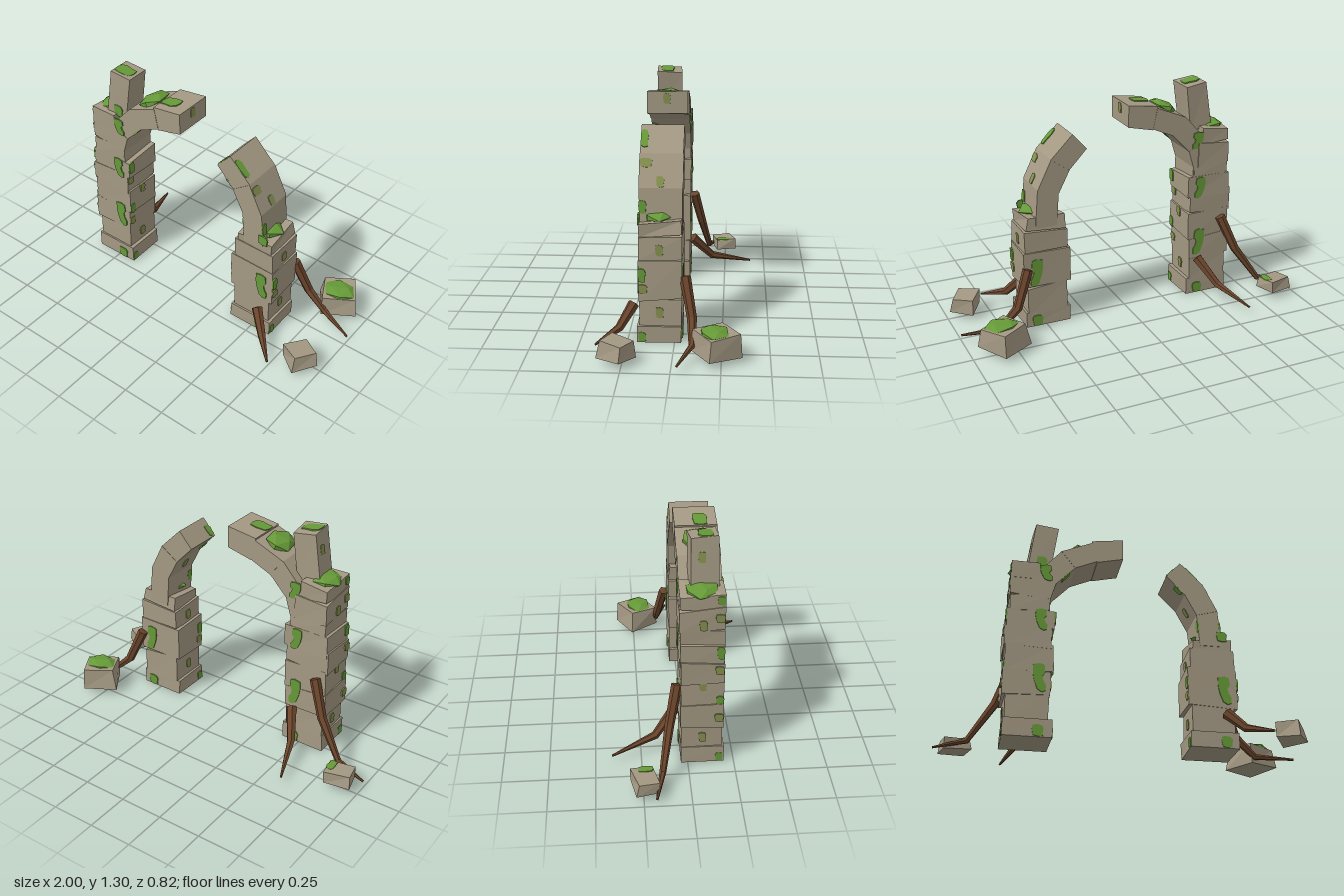
import * as THREE from 'three';

const mat = (name, color) => {
  const m = new THREE.MeshStandardMaterial({ color, flatShading: true });
  m.name = name;
  return m;
};

export function createModel() {
  const root = new THREE.Group();
  root.name = 'ruinedArch';
  const stone = mat('stone', 0xa49983);
  const moss = mat('moss', 0x669a38);
  const paleMoss = mat('paleMoss', 0x84904f);
  const wood = mat('rootWood', 0x6b452c);

  let seed = 11;
  const rnd = () => {
    seed = (seed * 16807) % 2147483647;
    return seed / 2147483647 * 2 - 1;
  };

  const add = (name, geo, material, parent = root) => {
    const mesh = new THREE.Mesh(geo, material);
    mesh.name = name;
    parent.add(mesh);
    return mesh;
  };

  // Box whose eight corners are nudged a little, like rough hewn stone
  function roughBox(w, h, d, jx, jy, jz) {
    const geo = new THREE.BoxGeometry(w, h, d);
    const shift = Array.from({ length: 8 }, () => [rnd() * jx, rnd() * jy, rnd() * jz]);
    const p = geo.attributes.position;
    for (let i = 0; i < p.count; i++) {
      const [x, y, z] = [p.getX(i), p.getY(i), p.getZ(i)];
      const s = shift[(x > 0 ? 1 : 0) + (y > 0 ? 2 : 0) + (z > 0 ? 4 : 0)];
      p.setXYZ(i, x + s[0], y + s[1], z + s[2]);
    }
    geo.computeVertexNormals();
    return geo;
  }

  // Pillars: each course is [x0, x1, y0, y1, z0, z1]
  function pillar(name, courses) {
    const g = new THREE.Group();
    g.name = name;
    for (const [x0, x1, y0, y1, z0, z1] of courses) {
      const b = add('pillarBlock', roughBox(x1 - x0, y1 - y0, z1 - z0, 0.003, y0 > 0 ? 0.014 : 0, 0.002), stone, g);
      b.position.set((x0 + x1) / 2, (y0 + y1) / 2, (z0 + z1) / 2);
    }
    root.add(g);
  }
  pillar('rightPillar', [
    [-0.65, -0.39, 0, 0.1, -0.036, 0.196], [-0.645, -0.41, 0.09, 0.24, -0.036, 0.185],
    [-0.665, -0.405, 0.23, 0.37, -0.04, 0.19], [-0.655, -0.395, 0.36, 0.53, -0.038, 0.19],
    [-0.665, -0.405, 0.52, 0.64, -0.04, 0.19], [-0.655, -0.39, 0.63, 0.745, -0.042, 0.189],
    [-0.64, -0.425, 0.735, 0.83, -0.04, 0.19], [-0.645, -0.45, 0.82, 0.95, -0.046, 0.188],
    [-0.64, -0.48, 0.94, 1.03, -0.042, 0.19],
  ]);
  pillar('leftPillar', [
    [0.355, 0.62, 0, 0.09, -0.036, 0.197], [0.37, 0.605, 0.08, 0.25, -0.036, 0.185],
    [0.35, 0.625, 0.24, 0.455, -0.038, 0.19], [0.365, 0.615, 0.45, 0.58, -0.04, 0.187],
  ]);
  const cap = add('tiltedCapstone', roughBox(0.22, 0.085, 0.225, 0.01, 0.015, 0.005), stone);
  cap.position.set(0.49, 0.615, 0.075);
  cap.rotation.set(0.1, 0, 0.06);

  // Arch stones: consecutive joints [outer x, outer y, inner x, inner y]
  function arch(name, joints) {
    const g = new THREE.Group();
    g.name = name;
    for (let i = 0; i + 1 < joints.length; i++) {
      const [a, b, c, d] = joints[i], [e, f, p, q] = joints[i + 1];
      const s = new THREE.Shape([[a, b], [c, d], [p, q], [e, f]].map(v => new THREE.Vector2(...v)));
      const depth = 0.227 + (i % 2) * 0.004;
      const m = add('archStone', new THREE.ExtrudeGeometry(s, { depth, bevelEnabled: false }), stone, g);
      m.position.z = 0.075 - depth / 2;
    }
    root.add(g);
  }
  arch('rightArch', [
    [-0.56, 0.7, -0.42, 0.71], [-0.55, 0.82, -0.42, 0.81], [-0.49, 0.98, -0.39, 0.91],
    [-0.365, 1.12, -0.285, 1.02], [-0.185, 1.195, -0.16, 1.075],
  ]);
  arch('rightArchTip', [[-0.19, 1.205, -0.16, 1.07], [-0.01, 1.23, -0.01, 1.105]]);
  arch('leftArch', [
    [0.55, 0.6, 0.425, 0.6], [0.532, 0.82, 0.41, 0.785], [0.45, 0.985, 0.345, 0.91], [0.322, 1.112, 0.24, 1.02],
  ]);

  // Leaning broken stone on top
  const stub = add('leaningStone', roughBox(0.132, 0.27, 0.145, 0.004, 0.006, 0.003), stone);
  stub.position.set(-0.47, 1.155, 0.088);
  stub.rotation.set(0, 0.06, -0.13);

  // Fallen stones, wider at the base
  function rubble(x, y0, y1, z, w, d, turn) {
    const geo = roughBox(w, y1 - y0, d, 0.008, 0.008, 0.008);
    const p = geo.attributes.position;
    for (let i = 0; i < p.count; i++) if (p.getY(i) < 0) p.setXYZ(i, p.getX(i) * 1.1, p.getY(i), p.getZ(i) * 1.1);
    const m = add('fallenStone', geo, stone);
    m.position.set(x, (y0 + y1) / 2, z);
    m.rotation.y = turn;
  }
  rubble(0.815, 0.035, 0.153, -0.225, 0.184, 0.167, 0.51);
  rubble(0.885, 0.035, 0.12, 0.277, 0.125, 0.138, -0.54);
  rubble(-0.88, 0.04, 0.105, -0.24, 0.138, 0.113, 0.25);

  // Faceted moss clumps
  function clump(x, y, z, rx, ry, rz, tilt, turn) {
    const geo = new THREE.IcosahedronGeometry(1.1, 0);
    geo.rotateY(turn);
    geo.scale(rx, ry, rz);
    const m = add('mossClump', geo, moss);
    m.position.set(x, y, z);
    m.rotation.z = tilt;
  }
  clump(-0.575, 1.03, 0.075, 0.075, 0.028, 0.09, 0.12, 0.4);
  clump(-0.275, 1.168, 0.08, 0.072, 0.03, 0.09, 0.42, 0.2);
  clump(0.5, 0.672, 0.09, 0.1, 0.026, 0.075, -0.08, 0.7);
  clump(0.822, 0.152, -0.215, 0.09, 0.022, 0.075, 0, 0.5);

  // Thin moss stains laid on stone faces, turned to the face normal
  const blob = [[-0.5, 0.1], [-0.45, 0.45], [-0.1, 0.5], [0.3, 0.45], [0.5, 0.2], [0.42, -0.2], [0.45, -0.45], [0, -0.5], [-0.4, -0.4]];
  const bend = [[-0.5, 0.45], [0, 0.5], [0.35, 0.45], [0.42, 0.2], [0.22, 0.05], [0.3, -0.1], [0.5, -0.25],
    [0.48, -0.45], [0.2, -0.5], [-0.15, -0.4], [-0.4, -0.1], [-0.5, 0.15]];
  function stain([nx, ny, nz], x, y, z, w, h, material = moss, outline = blob) {
    const s = new THREE.Shape(outline.map(([a, b]) => new THREE.Vector2(a * w, b * h)));
    const geo = new THREE.ExtrudeGeometry(s, { depth: 0.0095, bevelEnabled: false });
    geo.translate(0, 0, -0.00475);
    const m = add('mossStain', geo, material);
    m.position.set(x, y, z);
    m.lookAt(x + nx, y + ny, z + nz);
  }
  const front = [0, 0, 1], back = [0, 0, -1], up = [0, 1, 0], px = [1, 0, 0], nx = [-1, 0, 0];

  // front and back of both pillars
  for (const x of [-0.465, 0.553]) {
    stain(front, x, 0.035, 0.196, 0.062, 0.065);
    stain(back, x, 0.035, -0.037, 0.062, 0.065);
    stain(front, x, 0.335, 0.191, 0.072, 0.165, moss, bend);
    stain(back, x, 0.335, -0.04, -0.072, 0.165, moss, bend);
  }
  stain(front, -0.465, 0.68, 0.191, 0.066, 0.13, moss, bend);
  stain(back, -0.465, 0.68, -0.042, -0.066, 0.13, moss, bend);
  stain(front, 0.55, 0.66, 0.19, 0.06, 0.06);
  stain(front, -0.445, 0.972, 0.191, 0.07, 0.1, moss, bend);
  stain(back, -0.445, 0.972, -0.041, -0.07, 0.1, moss, bend);
  stain(front, -0.47, 1.055, 0.161, 0.06, 0.07);

  // side faces near the front edge: [normal, x, upper y]
  for (const [n, x, y, h] of [
    [px, 0.621, 0.03, 0.055], [px, 0.626, 0.375, 0.075], [nx, 0.354, 0.03, 0.055], [nx, 0.349, 0.375, 0.075],
    [px, -0.39, 0.03, 0.055], [px, -0.394, 0.4, 0.065], [px, -0.389, 0.7, 0.075],
    [nx, -0.65, 0.03, 0.055], [nx, -0.656, 0.4, 0.065], [nx, -0.656, 0.7, 0.075], [nx, -0.641, 1.0, 0.05],
    [[1, 0.08, 0], 0.541, 0.72, 0.07], [[-1, -0.08, 0], 0.418, 0.72, 0.07],
  ]) stain(n, x, y, 0.17, 0.042, h);
  for (const [n, x, y] of [[px, 0.625, 0.3], [nx, 0.35, 0.3], [px, -0.404, 0.3], [nx, -0.666, 0.3],
    [px, -0.404, 0.6], [nx, -0.666, 0.6], [nx, -0.646, 0.9]]) stain(n, x, y, 0.165, 0.05, 0.05, paleMoss);

  // sloping arch faces
  stain([0.7, 0.71, 0], 0.386, 1.049, 0.168, 0.042, 0.11);
  stain([0.895, 0.445, 0], 0.472, 0.94, 0.155, 0.065, 0.05, paleMoss);
  stain([-0.74, 0.67, 0], 0.268, 1.051, 0.168, 0.042, 0.07);
  stain([-0.72, -0.69, 0], 0.311, 0.945, 0.168, 0.045, 0.06);
  stain([0.72, -0.69, 0], -0.338, 0.966, 0.168, 0.045, 0.06);

  // faded spots in the middle of the side faces
  for (const [n, x, y] of [
    [px, 0.606, 0.163], [nx, 0.369, 0.163], [px, -0.409, 0.163], [nx, -0.646, 0.163],
    [px, 0.616, 0.51], [nx, 0.364, 0.51], [px, -0.394, 0.5], [nx, -0.656, 0.5],
    [[0.895, 0.445, 0], 0.517, 0.85], [[-0.89, -0.46, 0], 0.376, 0.85], [nx, -0.646, 0.86],
    [px, -0.011, 1.19], [[-0.99, 0.13, 0], -0.531, 1.19],
  ]) stain(n, x, y, 0.078, 0.042, 0.06, paleMoss);

  // upper faces
  stain([0.13, 0.99, 0], -0.458, 1.289, 0.1, 0.08, 0.11);
  stain([-0.14, 0.99, 0], -0.135, 1.213, 0.1, 0.08, 0.11);
  stain(up, -0.828, 0.106, -0.235, 0.045, 0.08);

  // Angular tapered roots with a blunt upper end
  function rootBranch(points, radii) {
    const pts = points.map(p => new THREE.Vector3(...p));
    pts.unshift(pts[0].clone().lerp(pts[1], -0.02));
    const scale = [0, ...radii];
    const curve = new THREE.CatmullRomCurve3(pts);
    curve.getUtoTmapping = u => u; // one ring at each point
    const sides = 6, geo = new THREE.TubeGeometry(curve, pts.length - 1, 1, sides);
    const p = geo.attributes.position, v = new THREE.Vector3();
    for (let i = 0; i < p.count; i++) {
      const ring = Math.floor(i / (sides + 1)), c = pts[ring];
      v.fromBufferAttribute(p, i).sub(c).multiplyScalar(scale[ring]).add(c);
      p.setXYZ(i, v.x, v.y, v.z);
    }
    geo.computeVertexNormals();
    add('root', geo, wood);
  }
  rootBranch([[-0.6, 0.48, -0.055], [-0.68, 0.28, -0.1], [-0.82, 0.075, -0.145], [-1, 0.04, -0.185]], [0.03, 0.026, 0.018, 0.006]);
  rootBranch([[-0.455, 0.235, -0.05], [-0.53, 0.1, -0.17], [-0.617, 0.038, -0.41]], [0.031, 0.023, 0.006]);
  rootBranch([[0.61, 0.37, -0.055], [0.69, 0.17, -0.095], [0.8, 0.065, -0.1], [1, 0.037, -0.028]], [0.03, 0.026, 0.018, 0.006]);
  rootBranch([[0.55, 0.19, 0.22], [0.635, 0.085, 0.29], [0.755, 0.038, 0.405]], [0.031, 0.023, 0.006]);

  return root;
}
